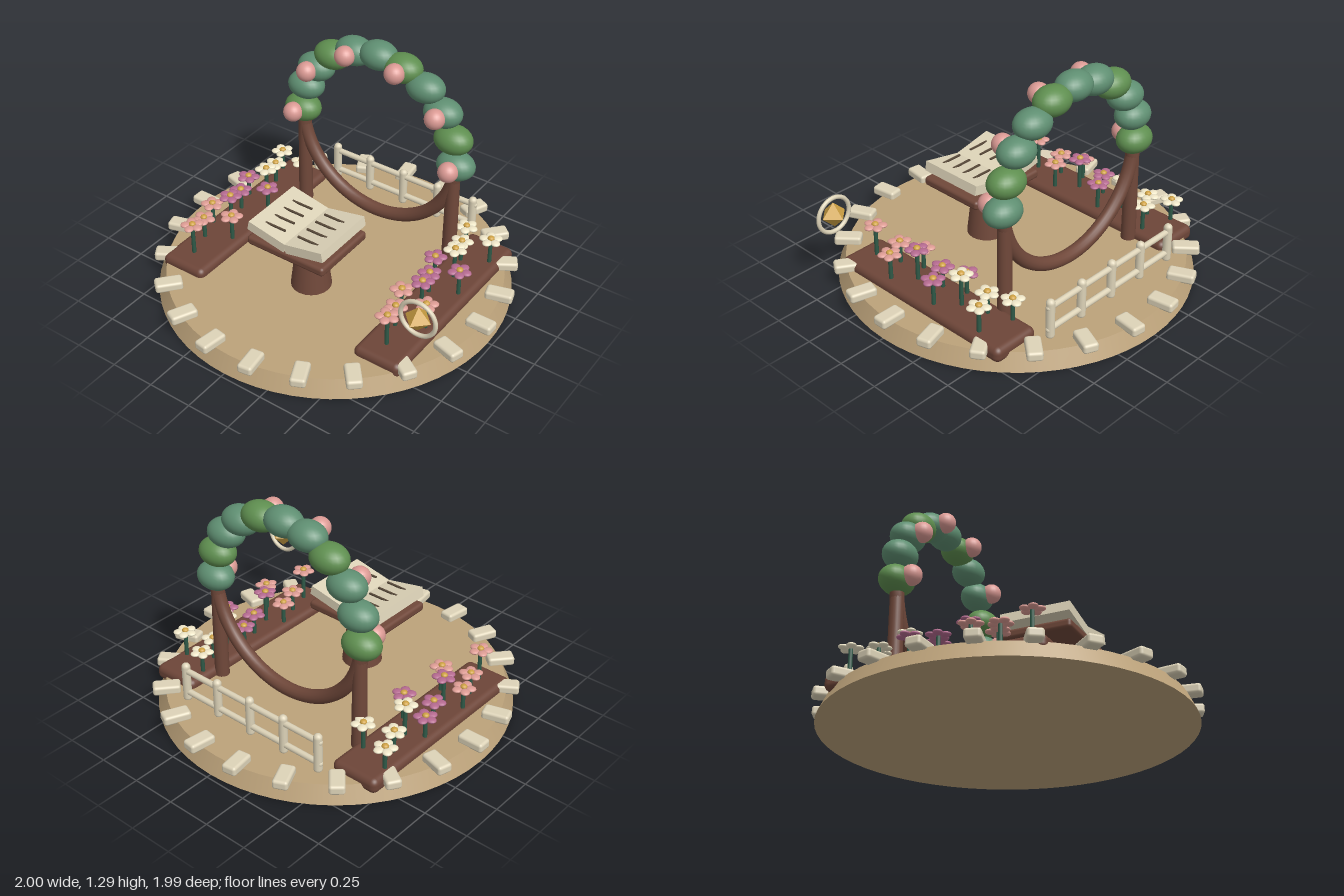
import * as THREE from 'three';
import { RoundedBoxGeometry } from 'three/addons/geometries/RoundedBoxGeometry.js';

const mat = (color) => new THREE.MeshStandardMaterial({ color });
const M = {
  sand: mat(0xbca27a), cream: mat(0xddd3b8), soil: mat(0x6d4538), wood: mat(0x70483a),
  teal: mat(0x5f8f72), green: mat(0x5f8f50), rose: mat(0xdb9a94), gold: mat(0xcfa244),
  stem: mat(0x2f5a48), ink: mat(0x594a3a),
  petals: [mat(0xefe6c8), mat(0xb56a90), mat(0xdd9c94)],
};
M.gem = mat(0xcfa244);
M.gem.flatShading = true;

function add(parent, name, geometry, material, x = 0, y = 0, z = 0) {
  const mesh = new THREE.Mesh(geometry, material);
  mesh.name = name;
  mesh.position.set(x, y, z);
  parent.add(mesh);
  return mesh;
}

function group(parent, name, x = 0, y = 0, z = 0) {
  const g = new THREE.Group();
  g.name = name;
  g.position.set(x, y, z);
  parent.add(g);
  return g;
}

const GROUND = 0.093;
const ball = new THREE.SphereGeometry(1, 24, 16);
const petalBall = new THREE.SphereGeometry(1, 14, 10);

// Round plot with a ring of edging stones
function addGround(root) {
  add(root, 'ground', new THREE.CylinderGeometry(0.93, 0.975, GROUND, 64), M.sand, 0, GROUND / 2, 0);
  const ring = group(root, 'edgingStones');
  const geo = new RoundedBoxGeometry(0.15, 0.054, 0.084, 3, 0.016);
  const count = 22;
  for (let i = 0; i < count; i++) {
    const a = (i / count) * Math.PI * 2;
    const stone = add(ring, 'stone', geo, M.cream, 0.925 * Math.cos(a), 0.108, 0.925 * Math.sin(a));
    stone.rotation.y = -a;
  }
}

// Flower with five flat petals; y is the height of the bloom
function addFlower(parent, x, y, z, petalMat, turn) {
  const flower = group(parent, 'flower', x, 0, z);
  const base = 0.11;
  add(flower, 'stem', new THREE.CylinderGeometry(0.011, 0.012, y - base, 8), M.stem, 0, (y + base) / 2, 0);
  for (let k = 0; k < 5; k++) {
    const a = turn + (k / 5) * Math.PI * 2;
    const petal = add(flower, 'petal', petalBall, petalMat, 0.037 * Math.cos(a), y, 0.037 * Math.sin(a));
    petal.scale.set(0.029, 0.012, 0.026);
    petal.rotation.y = -a;
  }
  add(flower, 'flowerCentre', petalBall, M.gold, 0, y + 0.009, 0).scale.set(0.019, 0.014, 0.019);
}

// Soil bed with three repeats of four flowers, from back to front
function addBed(root, side) {
  const cx = 0.637 * side;
  const bed = group(root, side > 0 ? 'leftBed' : 'rightBed');
  add(bed, 'soil', new RoundedBoxGeometry(0.28, 0.088, 1.175, 4, 0.035), M.soil, cx, 0.094, -0.031);
  const pattern = [[-0.1, 0.262, -0.49], [0.083, 0.288, -0.436], [-0.053, 0.262, -0.36], [-0.01, 0.322, -0.217]];
  M.petals.forEach((petalMat, row) => {
    pattern.forEach(([dx, y, z], i) => {
      addFlower(bed, cx + dx, y, z + row * 0.326, petalMat, i * 0.4 + row * 0.7);
    });
  });
}

// Leafy arch on two posts with a hanging half ring
function addArch(root) {
  const arch = group(root, 'arch', 0, 0, -0.39);
  const cy = 0.716, R = 0.5;
  for (const s of [-1, 1]) {
    add(arch, 'archPost', new THREE.CylinderGeometry(0.037, 0.041, cy - 0.09, 20), M.wood, s * 0.49, (cy + 0.09) / 2, 0);
  }
  const hoop = add(arch, 'lowerHoop', new THREE.TorusGeometry(R, 0.038, 14, 48, Math.PI), M.wood, 0, cy, 0);
  hoop.rotation.z = Math.PI;
  for (let i = 0; i <= 10; i++) {
    const a = Math.PI * (1 - i / 10);
    const x = R * Math.cos(a), y = cy + R * Math.sin(a);
    add(arch, 'leafCluster', ball, i % 3 ? M.teal : M.green, x, y, 0).scale.set(0.11, 0.078, 0.09);
    if (i % 2 === 0) add(arch, 'blossom', ball, M.rose, x * 1.01, y + 0.008, 0.09).scale.setScalar(0.056);
  }
}

// Pedestal, board and an open book
function addLectern(root) {
  const lectern = group(root, 'lectern', 0, 0, 0.26);
  add(lectern, 'pedestal', new THREE.CylinderGeometry(0.078, 0.112, 0.285, 20), M.wood, 0, 0.235, -0.035);
  add(lectern, 'board', new RoundedBoxGeometry(0.49, 0.052, 0.4, 3, 0.018), M.wood, 0, 0.421, 0);
  for (const s of [-1, 1]) {
    const page = add(lectern, 'bookPage', new THREE.BoxGeometry(0.24, 0.055, 0.385), M.cream, s * 0.119, 0.493, 0);
    page.rotation.z = s * 0.2;
    for (let k = 0; k < 4; k++) {
      add(lectern, 'writingLine', new THREE.BoxGeometry(0.13, 0.008, 0.011), M.ink, s * 0.105, 0.527, -0.103 + k * 0.077);
    }
  }
}

// Low rail fence at the back
function addFence(root) {
  const fence = group(root, 'fence', 0, 0, -0.677);
  for (let i = -2; i <= 2; i++) {
    add(fence, 'fencePost', new THREE.CapsuleGeometry(0.024, 0.19, 5, 12), M.cream, i * 0.232, 0.2, 0);
  }
  for (const y of [0.14, 0.272]) {
    const rail = add(fence, 'fenceRail', new THREE.CapsuleGeometry(0.017, 0.95, 5, 12), M.cream, 0, y, 0);
    rail.rotation.z = Math.PI / 2;
  }
}

// Floating gem inside a thin ring
function addCharm(root) {
  const charm = group(root, 'gemCharm', 0.843, 0.462, 0.5);
  add(charm, 'gem', new THREE.OctahedronGeometry(0.073), M.gem);
  add(charm, 'gemRing', new THREE.TorusGeometry(0.1, 0.012, 10, 40), M.cream);
}

export function createModel() {
  const root = new THREE.Group();
  root.name = 'garden';
  addGround(root);
  addBed(root, 1);
  addBed(root, -1);
  addArch(root);
  addLectern(root);
  addFence(root);
  addCharm(root);
  return root;
}
